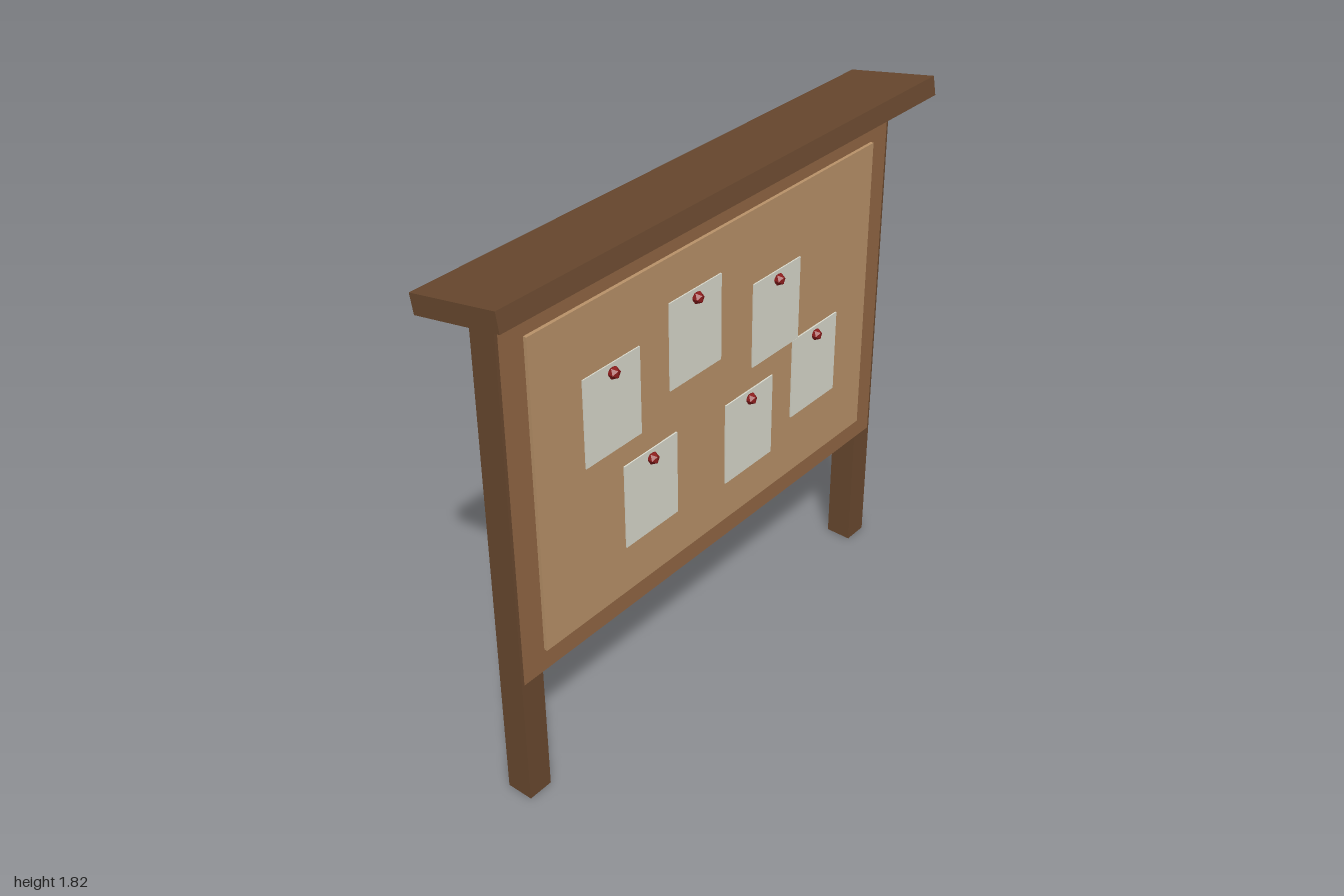
import * as THREE from 'three';

const material = (color) => new THREE.MeshStandardMaterial({ color, flatShading: true });

export function createModel() {
  const model = new THREE.Group();
  model.name = 'noticeBoard';
  const darkWood = material(0x6b4a30);
  const frameWood = material(0x936845);
  const cork = material(0xbb946a);
  const paper = material(0xdcdccf);
  const red = material(0x8c1c1c);

  // Box given by its low and high corners
  function box(name, mat, [x0, y0, z0], [x1, y1, z1]) {
    const mesh = new THREE.Mesh(new THREE.BoxGeometry(x1 - x0, y1 - y0, z1 - z0), mat);
    mesh.position.set((x0 + x1) / 2, (y0 + y1) / 2, (z0 + z1) / 2);
    mesh.name = name;
    model.add(mesh);
    return mesh;
  }

  // Posts
  box('rightPost', darkWood, [-0.91, 0, -0.047], [-0.82, 1.73, 0.047]);
  box('leftPost', darkWood, [0.82, 0, -0.047], [0.91, 1.73, 0.047]);

  // Frame: a flat ring extruded, just proud of the posts
  const ring = new THREE.Shape();
  ring.moveTo(-0.9, 0.465).lineTo(0.9, 0.465).lineTo(0.9, 1.71).lineTo(-0.9, 1.71).closePath();
  const opening = new THREE.Path();
  opening.moveTo(-0.81, 0.545).lineTo(-0.81, 1.625).lineTo(0.81, 1.625).lineTo(0.81, 0.545).closePath();
  ring.holes.push(opening);
  const frame = new THREE.Mesh(
    new THREE.ExtrudeGeometry(ring, { depth: 0.097, bevelEnabled: false }), frameWood);
  frame.position.z = -0.0485;
  frame.name = 'frame';
  model.add(frame);

  // Cork panel, standing a little in front of the frame
  box('corkPanel', cork, [-0.81, 0.545, -0.047], [0.81, 1.625, 0.06]);

  // Sloping roof board, higher at the front
  const roof = box('roof', darkWood, [-1, 1.728, -0.161], [1, 1.792, 0.161]);
  roof.rotation.x = -THREE.MathUtils.degToRad(10);

  // Paper notes, each held by a pin
  const notes = [
    [-0.487, 1.247], [-0.11, 1.328], [0.295, 1.22],
    [-0.325, 0.868], [0.16, 0.842], [0.513, 0.922],
  ];
  const pinGeometry = new THREE.IcosahedronGeometry(0.021, 0);
  notes.forEach(([x, y], i) => {
    const front = 0.064 + i * 0.0003;
    box(`note${i + 1}`, paper, [x - 0.122, y - 0.15, 0.058], [x + 0.122, y + 0.15, front]);
    const pin = new THREE.Mesh(pinGeometry, red);
    pin.position.set(x, y + 0.121, 0.071);
    pin.name = `pin${i + 1}`;
    model.add(pin);
  });

  return model;
}
